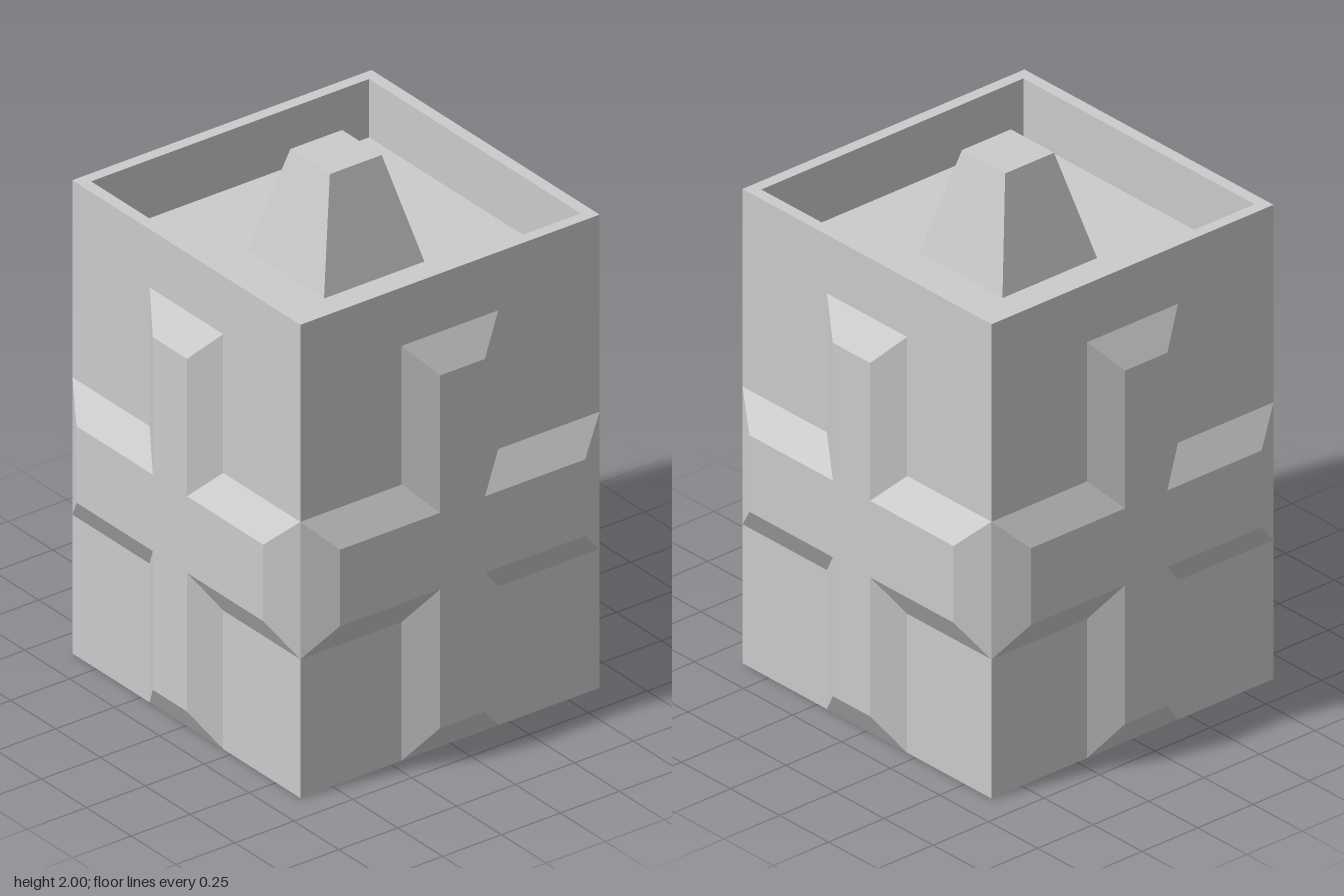
import * as THREE from 'three';

const material = new THREE.MeshStandardMaterial({ color: 0xcccccc, flatShading: true });

// Square solid turned from a [half width, height] profile
function squareTurned(name, profile) {
  const points = profile.map(([r, y]) => new THREE.Vector2(r * Math.SQRT2, y));
  const geometry = new THREE.LatheGeometry(points, 4, Math.PI / 4).toNonIndexed();
  geometry.computeVertexNormals();
  const mesh = new THREE.Mesh(geometry, material);
  mesh.name = name;
  return mesh;
}

// Counter-clockwise outline of a cross: upright half width w, arm half length a
function crossOutline(w, a, bottom, armLow, armHigh, top) {
  return [
    [-w, bottom], [w, bottom], [w, armLow], [a, armLow], [a, armHigh], [w, armHigh],
    [w, top], [-w, top], [-w, armHigh], [-a, armHigh], [-a, armLow], [-w, armLow],
  ].map(([x, y]) => new THREE.Vector2(x, y));
}

// Raised cross with sloping sides between a wide base and a narrow face
function raisedCross(base, face, z0, z1) {
  const positions = [];
  const add = (p, z) => positions.push(p.x, p.y, z);
  base.forEach((b0, i) => {
    const j = (i + 1) % base.length;
    add(b0, z0); add(base[j], z0); add(face[j], z1);
    add(b0, z0); add(face[j], z1); add(face[i], z1);
  });
  for (const triangle of THREE.ShapeUtils.triangulateShape(face, [])) {
    triangle.forEach((k) => add(face[k], z1));
  }
  const geometry = new THREE.BufferGeometry();
  geometry.setAttribute('position', new THREE.Float32BufferAttribute(positions, 3));
  geometry.computeVertexNormals();
  return geometry;
}

export function createModel() {
  const group = new THREE.Group();
  group.name = 'crossBlock';
  const half = 0.635;

  // Square block with a rim around a recessed top
  group.add(squareTurned('body', [
    [0, 0], [half, 0], [half, 1.825], [0.59, 1.825], [0.59, 1.6], [0, 1.6],
  ]));

  // Tapered peg standing in the recess
  group.add(squareTurned('peg', [[0.213, 1.6], [0.11, 2], [0, 2]]));

  // One raised cross per side
  const cross = raisedCross(
    crossOutline(0.205, half, 0, 0.535, 1.065, 1.6),
    crossOutline(0.095, 0.52, 0.12, 0.655, 0.95, 1.48),
    half, 0.705,
  );
  ['front', 'left', 'back', 'right'].forEach((side, i) => {
    const mesh = new THREE.Mesh(cross, material);
    mesh.name = `${side}Cross`;
    mesh.rotation.y = i * Math.PI / 2;
    group.add(mesh);
  });

  return group;
}
